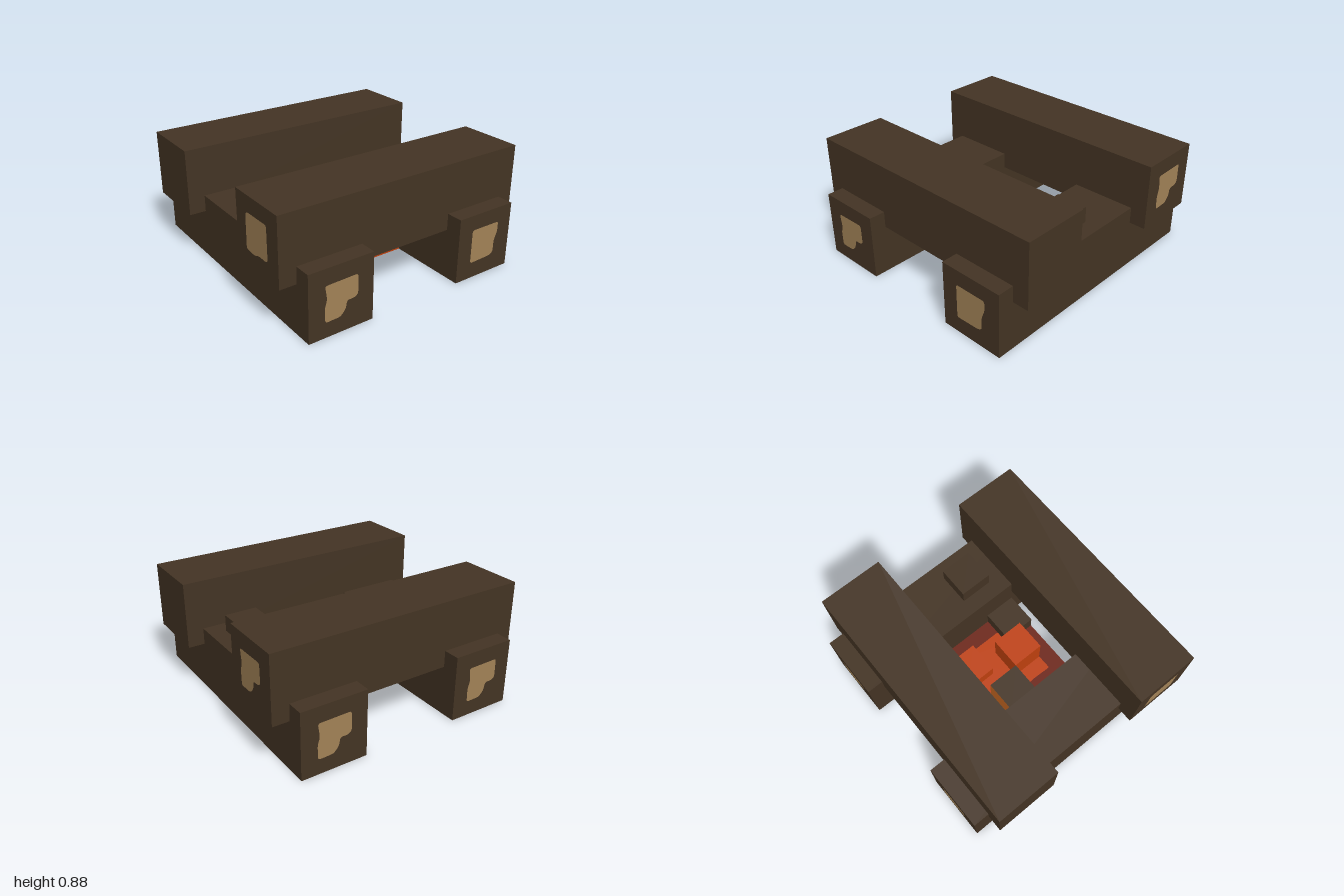
import * as THREE from 'three';

const mat = (name, color) => {
  const m = new THREE.MeshStandardMaterial({ color });
  m.name = name;
  return m;
};

export function createModel() {
  const group = new THREE.Group();
  const bark = mat('bark', 0x443424);
  const wood = mat('cutWood', 0xa38357);
  const ember = mat('ember', 0xc0410e);
  const amber = mat('amber', 0xc96822);
  const ash = mat('darkEmber', 0x6d2110);

  // Box from its min and max corners; material may be a list of six faces
  const box = (name, min, max, material) => {
    const s = max.map((v, i) => v - min[i]);
    const mesh = new THREE.Mesh(new THREE.BoxGeometry(...s), material);
    mesh.position.set(...max.map((v, i) => (v + min[i]) / 2));
    mesh.name = name;
    group.add(mesh);
  };

  // Flat polygon with softly rounded corners
  const softShape = (points, r = 0.02) => {
    const p = points.map(([x, y]) => new THREE.Vector2(x, y));
    const shape = new THREE.Shape();
    p.forEach((c, i) => {
      const towards = (q) => {
        const d = q.clone().sub(c);
        return c.clone().add(d.setLength(Math.min(r, d.length() * 0.45)));
      };
      const a = towards(p[(i + p.length - 1) % p.length]);
      const b = towards(p[(i + 1) % p.length]);
      if (i === 0) shape.moveTo(a.x, a.y);
      else shape.lineTo(a.x, a.y);
      shape.quadraticCurveTo(c.x, c.y, b.x, b.y);
    });
    shape.closePath();
    return new THREE.ShapeGeometry(shape, 5);
  };

  // Logs: two along x on the ground, two along z resting on them
  for (const s of [-1, 1]) {
    const c = s * 0.625;
    box(s > 0 ? 'frontLog' : 'backLog', [-1, 0, c - 0.25], [1, 0.5, c + 0.25], bark);
    box(s > 0 ? 'leftLog' : 'rightLog', [c - 0.25, 0.375, -1], [c + 0.25, 0.875, 1], bark);
  }

  // Exposed wood on the log ends
  const square = [[-0.13, 0.12], [-0.1, 0.133], [0.125, 0.137], [0.127, -0.11], [0.1, -0.122],
    [0.02, -0.12], [-0.03, -0.14], [-0.133, -0.133]];
  const notched = [[-0.127, 0.13], [0.125, 0.135], [0.127, -0.01], [0.1, -0.03], [0.04, -0.03],
    [0.03, -0.09], [-0.01, -0.133], [-0.127, -0.137], [-0.13, -0.03], [-0.112, 0.03]];
  const tapered = [[-0.125, 0.135], [0.127, 0.135], [0.127, 0.06], [0.1, -0.01], [0.1, -0.1],
    [0.07, -0.12], [-0.125, -0.127]];
  const ends = [
    ['leftLogEnd', square, 0.625, 0.625, 1.002, 0],
    ['rightLogEnd', notched, -0.625, 0.625, -1.002, Math.PI],
    ['frontLogLeftEnd', notched, 1.002, 0.25, 0.625, Math.PI / 2],
    ['backLogLeftEnd', tapered, 1.002, 0.25, -0.625, Math.PI / 2],
    ['frontLogRightEnd', notched, -1.002, 0.25, 0.625, -Math.PI / 2],
    ['backLogRightEnd', notched, -1.002, 0.25, -0.625, -Math.PI / 2],
  ];
  for (const [name, outline, x, y, z, turn] of ends) {
    const plate = new THREE.Mesh(softShape(outline), wood);
    plate.position.set(x, y, z);
    plate.rotation.y = turn;
    plate.name = name;
    group.add(plate);
  }

  // Fire bed: glowing sides, dark top, bark-coloured underside
  box('fireBed', [-0.375, 0, -0.375], [0.375, 0.125, 0.375],
    [ember, ember, ash, bark, ember, ember]);

  // Glowing patch on the bed
  const glow = new THREE.Mesh(softShape([[-0.25, 0.25], [0.125, 0.25], [0.125, 0.125], [0.25, 0.125],
    [0.252, -0.245], [0.1, -0.24], [0, -0.245], [0, -0.125], [-0.25, -0.125]], 0.012), ember);
  glow.rotation.x = -Math.PI / 2;
  glow.position.y = 0.127;
  glow.name = 'bedGlow';
  group.add(glow);

  // Coals
  box('lowGlowingCoal', [-0.375, 0.125, -0.25], [-0.125, 0.25, 0], ember);
  box('tallGlowingCoal', [0, 0.125, -0.125], [0.25, 0.375, 0.125], ember);
  box('litCoal', [-0.25, 0.125, 0.125], [0, 0.375, 0.375],
    [amber, amber, bark, bark, amber, amber]);
  box('darkCoal', [0.125, 0.125, -0.375], [0.375, 0.25, -0.125], bark);
  box('looseChip', [0, 0.5, -0.75], [0.25, 0.625, -0.5], bark);

  return group;
}
